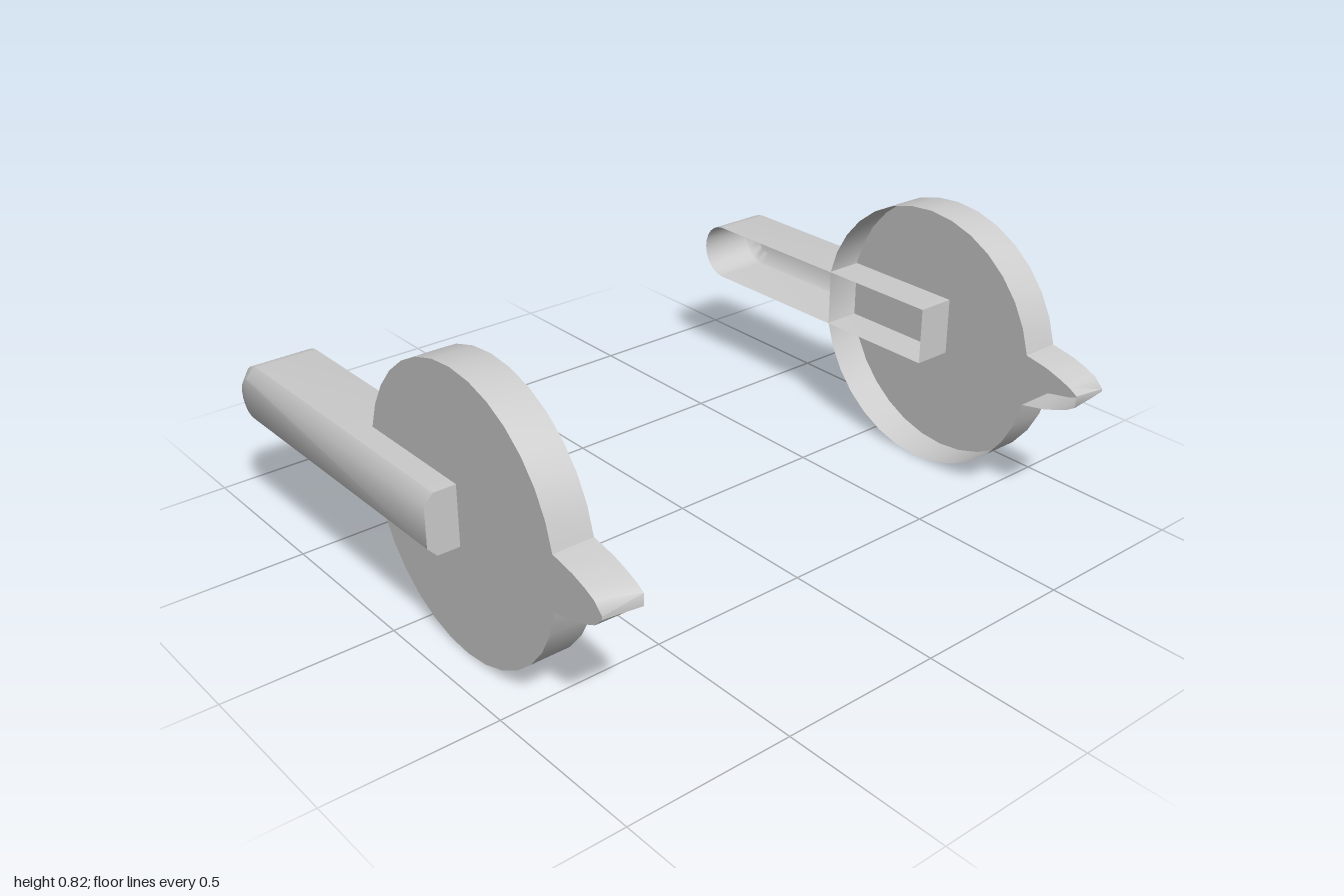
import * as THREE from 'three';
import { toCreasedNormals } from 'three/addons/utils/BufferGeometryUtils.js';

const material = new THREE.MeshStandardMaterial({ color: 0xcccccc, side: THREE.DoubleSide });

// Joins closed counter-clockwise outlines (each { points, z }) from back to front,
// optionally closing the last one with a flat face.
function loft(rings, closeFront, crease = 1) {
  const n = rings[0].points.length;
  const positions = [], index = [];
  for (const { points, z } of rings) for (const p of points) positions.push(p.x, p.y, z);
  for (let r = 0; r < rings.length - 1; r++) {
    for (let i = 0; i < n; i++) {
      const a = r * n + i, b = r * n + (i + 1) % n;
      index.push(a, b, b + n, a, b + n, a + n);
    }
  }
  if (closeFront) {
    const start = (rings.length - 1) * n;
    for (const f of THREE.ShapeUtils.triangulateShape(rings.at(-1).points, [])) {
      index.push(...f.map((i) => start + i));
    }
  }
  const geometry = new THREE.BufferGeometry();
  geometry.setAttribute('position', new THREE.Float32BufferAttribute(positions, 3));
  geometry.setIndex(index);
  return toCreasedNormals(geometry, crease);
}

function addMesh(group, name, geometry) {
  const mesh = new THREE.Mesh(geometry, material);
  mesh.name = name;
  group.add(mesh);
}

// Bar outline: round left end, square right end
function barOutline(left, half) {
  const points = [new THREE.Vector2(0.21, -half), new THREE.Vector2(0.21, half)];
  const steps = 12, depth = 0.085 * half / 0.09;
  for (let i = 0; i <= steps; i++) {
    const a = Math.PI / 2 + Math.PI * i / steps;
    points.push(new THREE.Vector2(left + depth + depth * Math.cos(a), half * Math.sin(a)));
  }
  return points;
}

// Disc outline with a pointer on the right and a flat behind the bar on the left
function discOutline(tip) {
  const upper = [...tip];
  const start = 0.195, end = Math.PI - 0.22, steps = 14;
  for (let i = 0; i <= steps; i++) {
    const a = start + (end - start) * i / steps;
    upper.push([0.21 + 0.412 * Math.cos(a), 0.412 * Math.sin(a)]);
  }
  const lower = upper.map(([x, y]) => [x, -y]).reverse();
  return [...upper, ...lower].map(([x, y]) => new THREE.Vector2(x, y));
}

function createLever() {
  const lever = new THREE.Group();

  // Hollow disc: the pointer is sharp on the face and blunt at the open rim
  const face = discOutline([[0.8, 0.004], [0.772, 0.033], [0.735, 0.05], [0.69, 0.065], [0.65, 0.073]]);
  const rim = discOutline([[0.8, 0.018], [0.775, 0.034], [0.735, 0.05], [0.69, 0.065], [0.65, 0.073]]);
  addMesh(lever, 'discRim', loft([{ points: rim, z: 0.785 }, { points: face, z: 0.905 }], false, 0.8));
  const plate = new THREE.ShapeGeometry(new THREE.Shape(face));
  plate.translate(0, 0, 0.905);
  addMesh(lever, 'discFace', plate);

  // Hollow bar with a bevelled outer face
  const outer = barOutline(-0.805, 0.09);
  const inner = barOutline(-0.775, 0.06);
  addMesh(lever, 'barWalls', loft([{ points: outer, z: 0.782 }, { points: outer, z: 0.972 }], false));
  addMesh(lever, 'barTop', loft([{ points: outer, z: 0.972 }, { points: inner, z: 1 }], true));
  lever.position.y = 0.414;
  return lever;
}

export function createModel() {
  const model = new THREE.Group();
  model.name = 'leverPair';
  const front = createLever();
  front.name = 'frontLever';
  // Each lever is symmetric in height, so a half turn about x mirrors it in z
  const back = createLever();
  back.name = 'backLever';
  back.rotation.x = Math.PI;
  model.add(front, back);
  return model;
}
